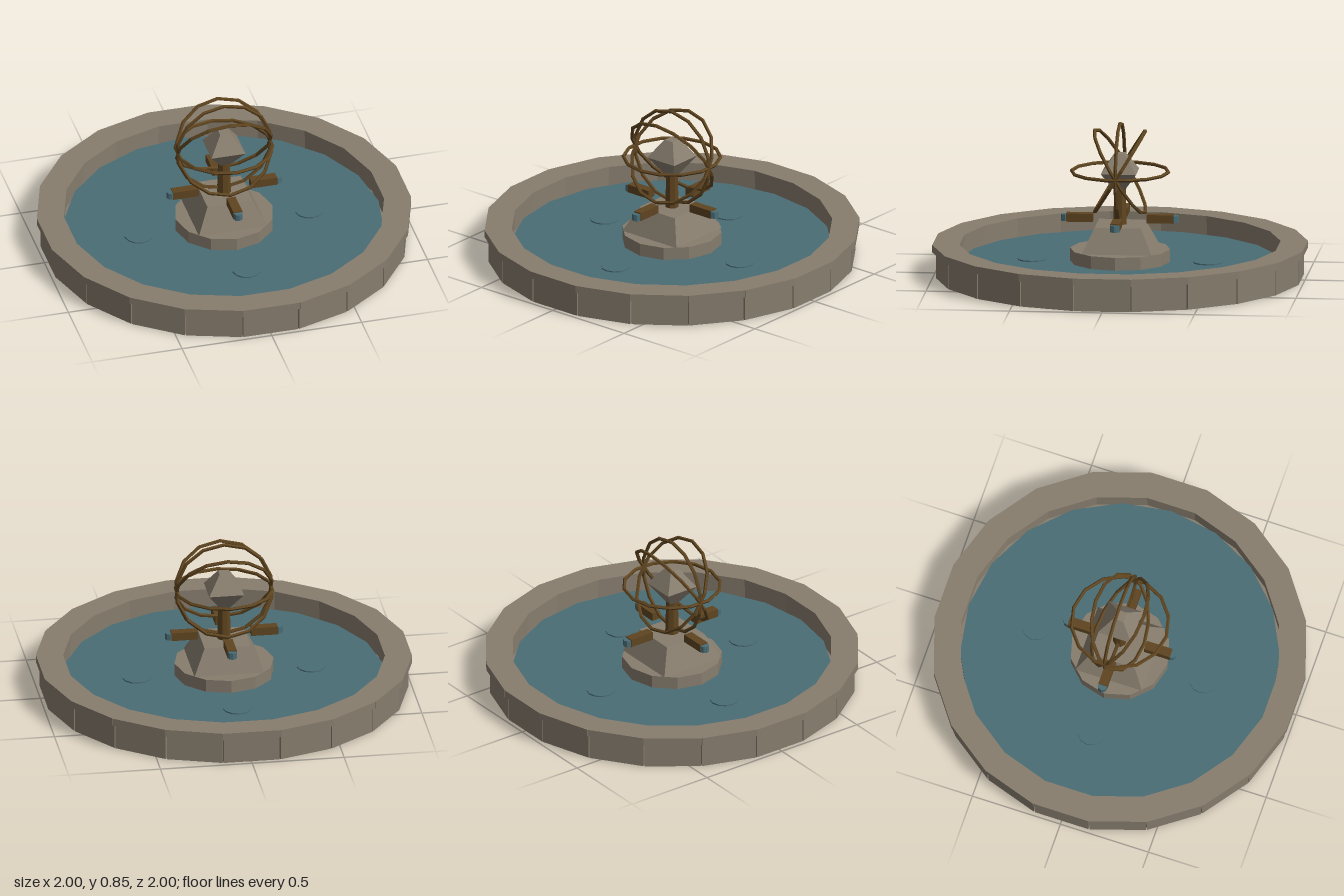
import * as THREE from 'three';

const material = (name, color) => {
  const m = new THREE.MeshStandardMaterial({ color, flatShading: true });
  m.name = name;
  return m;
};

export function createModel() {
  const stone = material('stone', 0x877d6e);
  const bronze = material('bronze', 0x5f4520);
  const water = material('water', 0x4a6d76);

  const model = new THREE.Group();
  model.name = 'fountain';

  const add = (name, geometry, mat, parent = model) => {
    const mesh = new THREE.Mesh(geometry, mat);
    mesh.name = name;
    parent.add(mesh);
    return mesh;
  };
  // Upright prism or frustum between two heights
  const drum = (top, bottom, y0, y1, sides, turn = 0) =>
    new THREE.CylinderGeometry(top, bottom, y1 - y0, sides)
      .rotateY(turn)
      .translate(0, (y0 + y1) / 2, 0);
  // Box between two heights and two distances along z
  const block = (width, y0, y1, z0, z1) =>
    new THREE.BoxGeometry(width, y1 - y0, z1 - z0)
      .translate(0, (y0 + y1) / 2, (z0 + z1) / 2);

  // Basin floor and water surface
  add('basinFloor', drum(0.97, 0.97, 0, 0.06, 20), stone);
  add('waterSurface', drum(0.86, 0.86, 0.06, 0.085, 20), water);

  // Basin wall blocks, each with an overhanging coping stone
  const sides = 20;
  const wallBlock = block(0.304, 0.003, 0.15, 0.86, 0.98);
  const copingStone = block(0.316, 0.145, 0.185, 0.855, 1);
  for (let i = 0; i < sides; i++) {
    const segment = new THREE.Group();
    segment.name = 'wallSegment';
    segment.rotation.y = (i / sides) * Math.PI * 2;
    add('wallBlock', wallBlock, stone, segment);
    add('copingStone', copingStone, stone, segment);
    model.add(segment);
  }

  // Pedestal: round drum, square tapered plinth and bronze column
  add('pedestalDrum', drum(0.27, 0.27, 0.06, 0.155, 12), stone);
  add('plinth', drum(0.177, 0.268, 0.155, 0.29, 4, Math.PI / 4), stone);
  add('column', drum(0.032, 0.038, 0.29, 0.49, 8, Math.PI / 8), bronze);

  // Four spouts with water at the tip and a ripple below each
  for (let i = 0; i < 4; i++) {
    const spout = new THREE.Group();
    spout.name = 'spoutArm';
    spout.rotation.y = (i * Math.PI) / 2;
    add('spout', block(0.05, 0.3, 0.345, 0.145, 0.29), bronze, spout);
    add('spoutWater', drum(0.025, 0.025, 0.303, 0.339, 8).translate(0, 0, 0.295), water, spout);
    add('ripple', drum(0.078, 0.078, 0.08, 0.092, 12).translate(0, 0, 0.475), water, spout);
    model.add(spout);
  }

  // Armillary sphere: four rings sharing the x axis, around a cut stone
  const sphere = new THREE.Group();
  sphere.name = 'armillarySphere';
  sphere.position.y = 0.577;
  model.add(sphere);

  const ring = new THREE.TorusGeometry(0.262, 0.01, 5, 14).rotateZ(Math.PI / 2);
  for (const tilt of [0, 0.55, -0.55, Math.PI / 2]) {
    add('ring', ring, bronze, sphere).rotation.x = tilt;
  }

  add('coreUpper', drum(0.04, 0.134, 0, 0.1, 4, Math.PI / 4), stone, sphere);
  add('coreLower', drum(0.134, 0.04, -0.098, 0, 4, Math.PI / 4), stone, sphere);

  return model;
}
